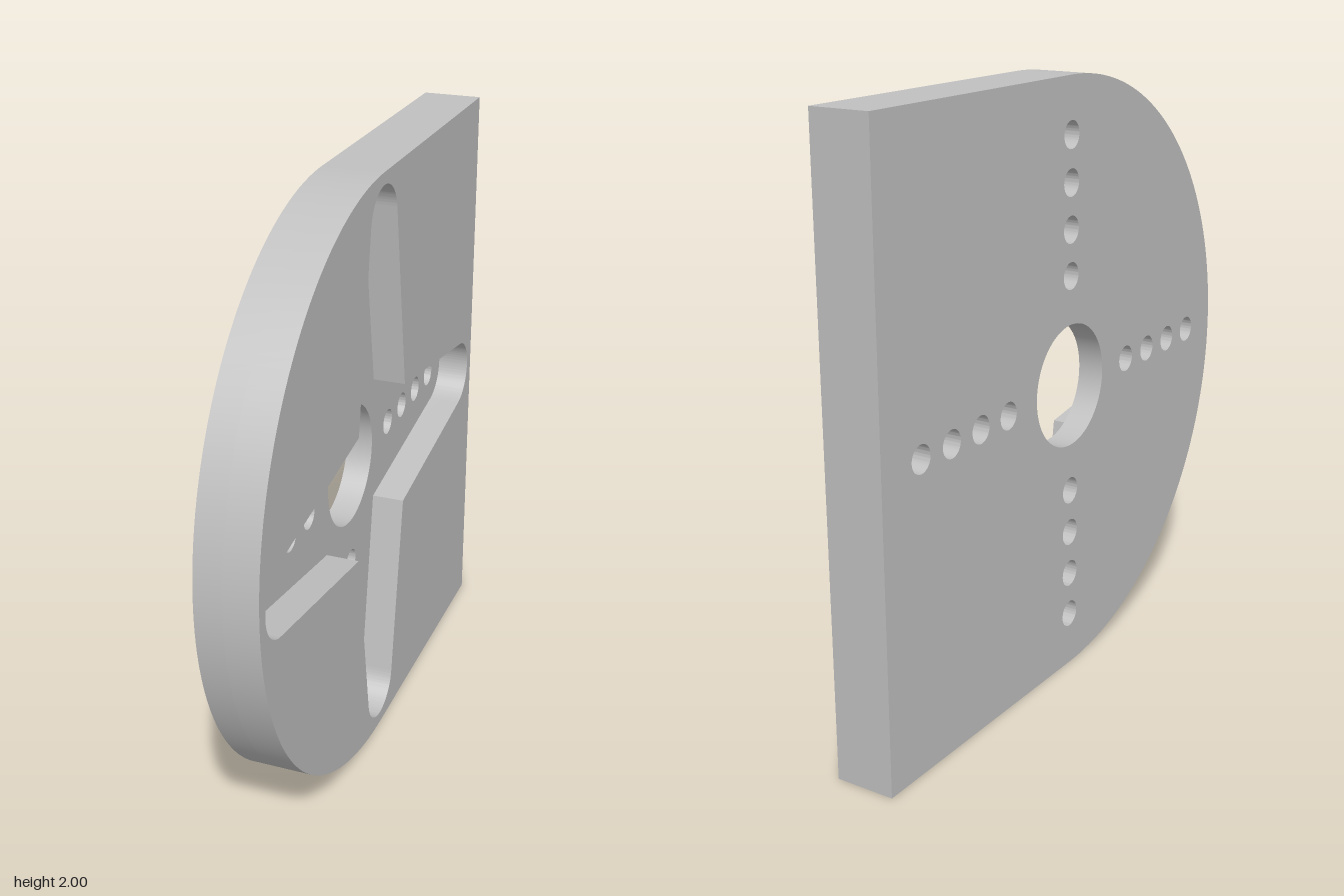
import * as THREE from 'three';
import { toCreasedNormals } from 'three/addons/utils/BufferGeometryUtils.js';

const HALF = 0.1;      // half the plate thickness
const FLOOR = -0.01;   // x of the recess floor
const QUARTER = Math.PI / 2;

// D-shaped outline: half circle towards the front, square at the back
function outline() {
  const s = new THREE.Shape();
  s.moveTo(1, -1);
  s.lineTo(1, 1);
  s.lineTo(0, 1);
  s.absarc(0, 0, 1, QUARTER, 3 * QUARTER, false);
  s.closePath();
  return s;
}

function circle(x, y, r) {
  const p = new THREE.Path();
  p.absarc(x, y, r, 0, Math.PI * 2, true);
  return p;
}

// Four tapered arms with round tips
function cross() {
  const p = new THREE.Path();
  const taper = 0.155, corner = 0.22 * Math.SQRT2;
  p.moveTo(0.22, -0.22);
  for (let i = 0; i < 4; i++) {
    const a = i * QUARTER;
    p.absarc(0.84 * Math.cos(a), 0.84 * Math.sin(a), 0.12,
      a - QUARTER + taper, a + QUARTER - taper, false);
    p.lineTo(corner * Math.cos(a + QUARTER / 2), corner * Math.sin(a + QUARTER / 2));
  }
  return p;
}

// Extrude a side profile from x0 to x1
function layer(name, shape, x0, x1, material) {
  let g = new THREE.ExtrudeGeometry(shape, { depth: x1 - x0, bevelEnabled: false, curveSegments: 48 });
  g.translate(0, 0, x0);
  g.rotateY(QUARTER);
  g.translate(0, 1, 0);
  g = toCreasedNormals(g, 0.5);
  const mesh = new THREE.Mesh(g, material);
  mesh.name = name;
  return mesh;
}

export function createModel() {
  const group = new THREE.Group();
  group.name = 'servoHornPlate';
  const grey = new THREE.MeshStandardMaterial({ color: 0xc0c0c0 });
  grey.name = 'grey';

  // Base with the centre bore and four rows of screw holes
  const base = outline();
  base.holes.push(circle(0, 0, 0.205));
  for (let i = 0; i < 4; i++) {
    for (let j = 0; j < 4; j++) {
      const d = 0.366 + j * 0.15, a = i * QUARTER;
      base.holes.push(circle(d * Math.cos(a), d * Math.sin(a), 0.045));
    }
  }
  group.add(layer('drilledBase', base, -HALF, FLOOR, grey));

  // Upper layer with the cross-shaped recess
  const top = outline();
  top.holes.push(cross());
  group.add(layer('recessedFace', top, FLOOR, HALF, grey));

  return group;
}
